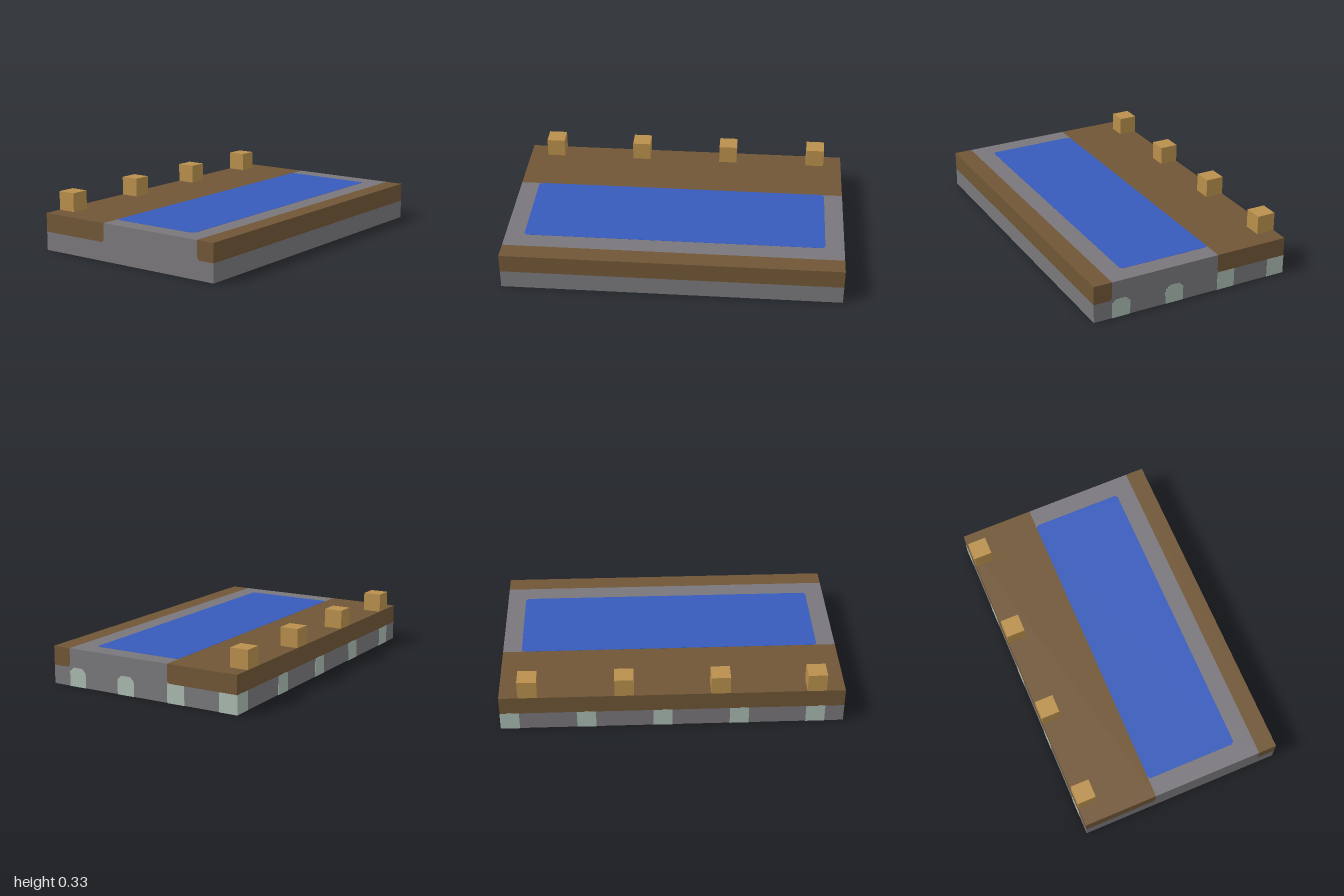
import * as THREE from 'three';

const U = 2 / 18;                       // grid cell: 11 wide, 18 long
const W = 11 * U, L = 18 * U, H = 2 * U;
const SKIN = 0.002;                     // thickness of flush inlays
const FLOOR = 0.001;

const material = (name, color) => {
  const m = new THREE.MeshStandardMaterial({ color });
  m.name = name;
  return m;
};

// Rectangle centred on the origin; cuts = chamfers at (-,-), (+,-), (+,+), (-,+)
function chamferedRect(w, h, cuts) {
  const pts = [];
  [[-1, -1], [1, -1], [1, 1], [-1, 1]].forEach(([sx, sy], i) => {
    const c = cuts[i], x = sx * w / 2, y = sy * h / 2;
    const alongX = new THREE.Vector2(x - sx * c, y);
    const alongY = new THREE.Vector2(x, y - sy * c);
    if (c === 0) pts.push(alongX);
    else if (sx === sy) pts.push(alongY, alongX);
    else pts.push(alongX, alongY);
  });
  return new THREE.Shape(pts);
}

const extrude = (shape, depth) => new THREE.ExtrudeGeometry(shape, { depth, bevelEnabled: false });

export function createModel() {
  const model = new THREE.Group();
  model.name = 'poolDeck';
  const stone = material('stone grey', 0x79777b);
  const wood = material('dark wood', 0x705636);
  const postWood = material('light wood', 0xb98f4c);
  const water = material('water blue', 0x375bbb);
  const pale = material('pale green grey', 0xa9bab1);

  const add = (name, geometry, mat, x, y, z, rx = 0, ry = 0) => {
    const mesh = new THREE.Mesh(geometry, mat);
    mesh.name = name;
    mesh.position.set(x, y, z);
    mesh.rotation.set(rx, ry, 0);
    model.add(mesh);
  };

  // Stone body, notched along both upper edges for the wooden decks
  const c = 0.015, inR = -W / 2 + 4 * U, inL = W / 2 - U;
  const body = new THREE.Shape([
    [-W / 2, FLOOR], [W / 2, FLOOR], [W / 2, U], [inL + c, U], [inL, U + c], [inL, H],
    [inR, H], [inR, U + c], [inR - c, U], [-W / 2, U],
  ].map(([x, y]) => new THREE.Vector2(x, y)));
  add('stoneBody', extrude(body, L), stone, 0, 0, -L / 2);

  // Wooden decks
  add('wideDeck', extrude(chamferedRect(4 * U, U, [0, c, 0, 0]), L), wood, -W / 2 + 2 * U, 1.5 * U, -L / 2);
  add('narrowDeck', extrude(chamferedRect(U, U, [c, 0, 0, 0]), L), wood, W / 2 - U / 2, 1.5 * U, -L / 2);

  // Water surface
  add('water', extrude(chamferedRect(5 * U, 16 * U, [c, c, c, c]), SKIN), water,
    inR + 2.5 * U, H - SKIN / 2, 0, -Math.PI / 2);

  // Posts along the outer edge of the wide deck
  for (const z of [-7.5, -2.5, 2.5, 7.5]) {
    add('post', new THREE.BoxGeometry(U, U, U), postWood, -W / 2 + U / 2, H + U / 2, z * U);
  }

  // Pile ends, seen underneath, at the back and on the right side
  const r = 0.025;
  for (const i of [0, 3, 6, 9]) {
    const x = -W / 2 + (i + 0.5) * U;
    const top = i > 3 ? r : 0;
    add('backPile', extrude(chamferedRect(U, U, [0, 0, top, top]), SKIN), pale,
      x, U / 2, -L / 2 + SKIN / 2, 0, Math.PI);
    for (const k of [0, 4, 8, 12, 16]) {
      const z = -L / 2 + (k + 0.5) * U;
      const cuts = [i && k ? r : 0, k ? r : 0, r, i ? r : 0];
      add('pileFoot', extrude(chamferedRect(U, U, cuts), SKIN), pale, x, SKIN, z, Math.PI / 2);
      if (i === 0) {
        add('sidePile', extrude(chamferedRect(U, U, [0, 0, 0, 0]), SKIN), pale,
          -W / 2 + SKIN / 2, U / 2, z, 0, -Math.PI / 2);
      }
    }
  }
  return model;
}
